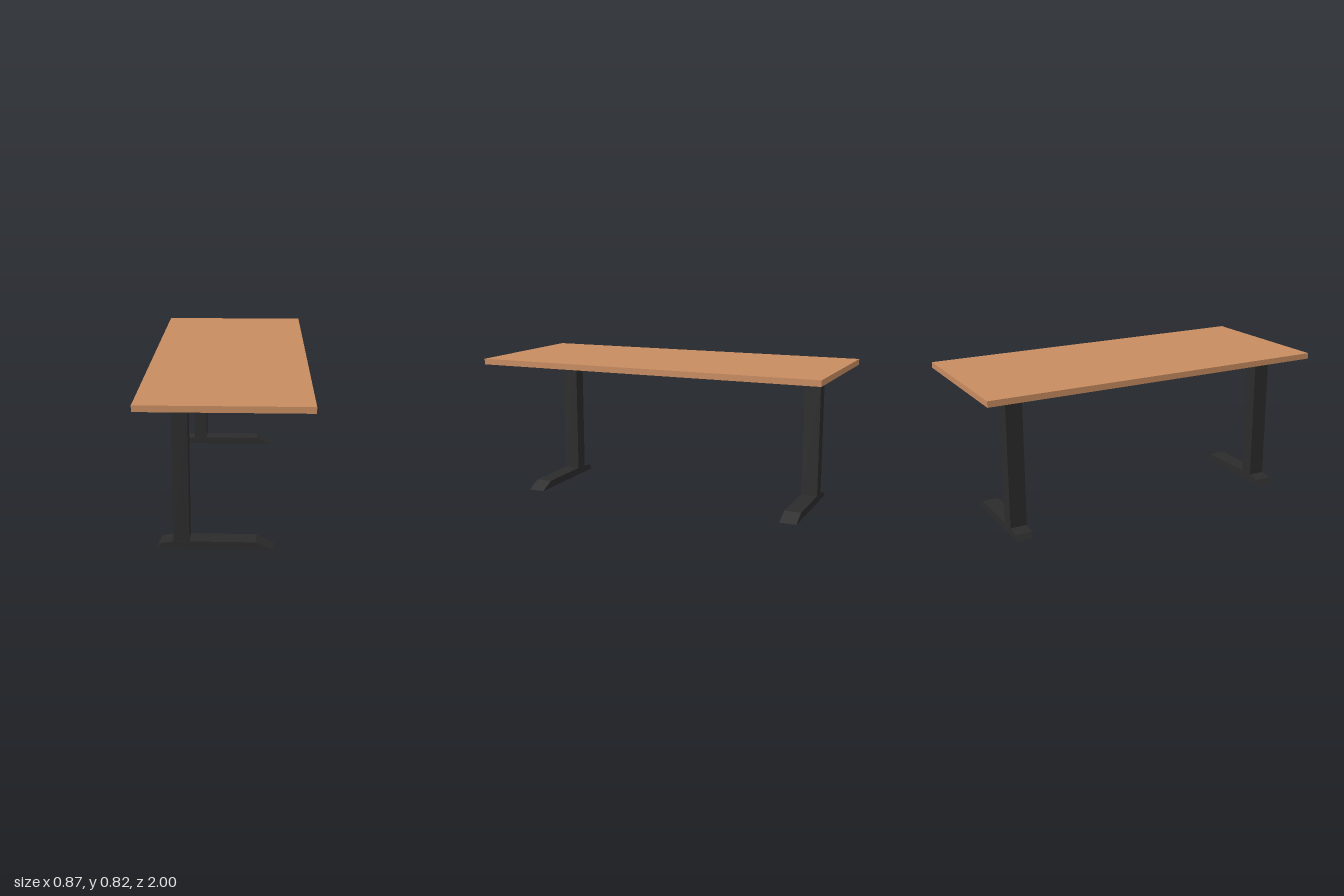
import * as THREE from 'three';

const LEG_Z = 0.796;      // leg centre distance from the middle
const LEG_WIDTH = 0.094;

// Extrudes an outline in the x-y plane, centred on z = 0
function profile(name, points, width, material) {
  const shape = new THREE.Shape(points.map(([x, y]) => new THREE.Vector2(x, y)));
  const geometry = new THREE.ExtrudeGeometry(shape, { depth: width, bevelEnabled: false });
  geometry.translate(0, 0, -width / 2);
  const mesh = new THREE.Mesh(geometry, material);
  mesh.name = name;
  return mesh;
}

export function createModel() {
  const wood = new THREE.MeshStandardMaterial({ color: 0xc88c60 });
  wood.name = 'wood';
  const metal = new THREE.MeshStandardMaterial({ color: 0x2b2b2b });
  metal.name = 'dark metal';

  const model = new THREE.Group();
  model.name = 'desk';

  // Table top
  const top = new THREE.Mesh(new THREE.BoxGeometry(0.874, 0.033, 2), wood);
  top.name = 'tableTop';
  top.position.y = 0.8065;
  model.add(top);

  // Two matching legs: foot, post and tapered bracket
  for (const side of [1, -1]) {
    const leg = new THREE.Group();
    leg.name = side > 0 ? 'frontLeg' : 'backLeg';
    leg.position.z = side * LEG_Z;

    leg.add(profile('foot', [
      [-0.35, 0], [0.25, 0], [0.16, 0.042], [-0.265, 0.043], [-0.333, 0.03],
    ], LEG_WIDTH + 0.002, metal));

    const post = new THREE.Mesh(new THREE.BoxGeometry(0.081, 0.695, LEG_WIDTH), metal);
    post.name = 'post';
    post.position.set(-0.2245, 0.3895, 0);
    leg.add(post);

    leg.add(profile('bracket', [
      [-0.265, 0.737], [-0.184, 0.737], [0.25, 0.79], [-0.352, 0.79],
    ], LEG_WIDTH, metal));

    model.add(leg);
  }
  return model;
}
